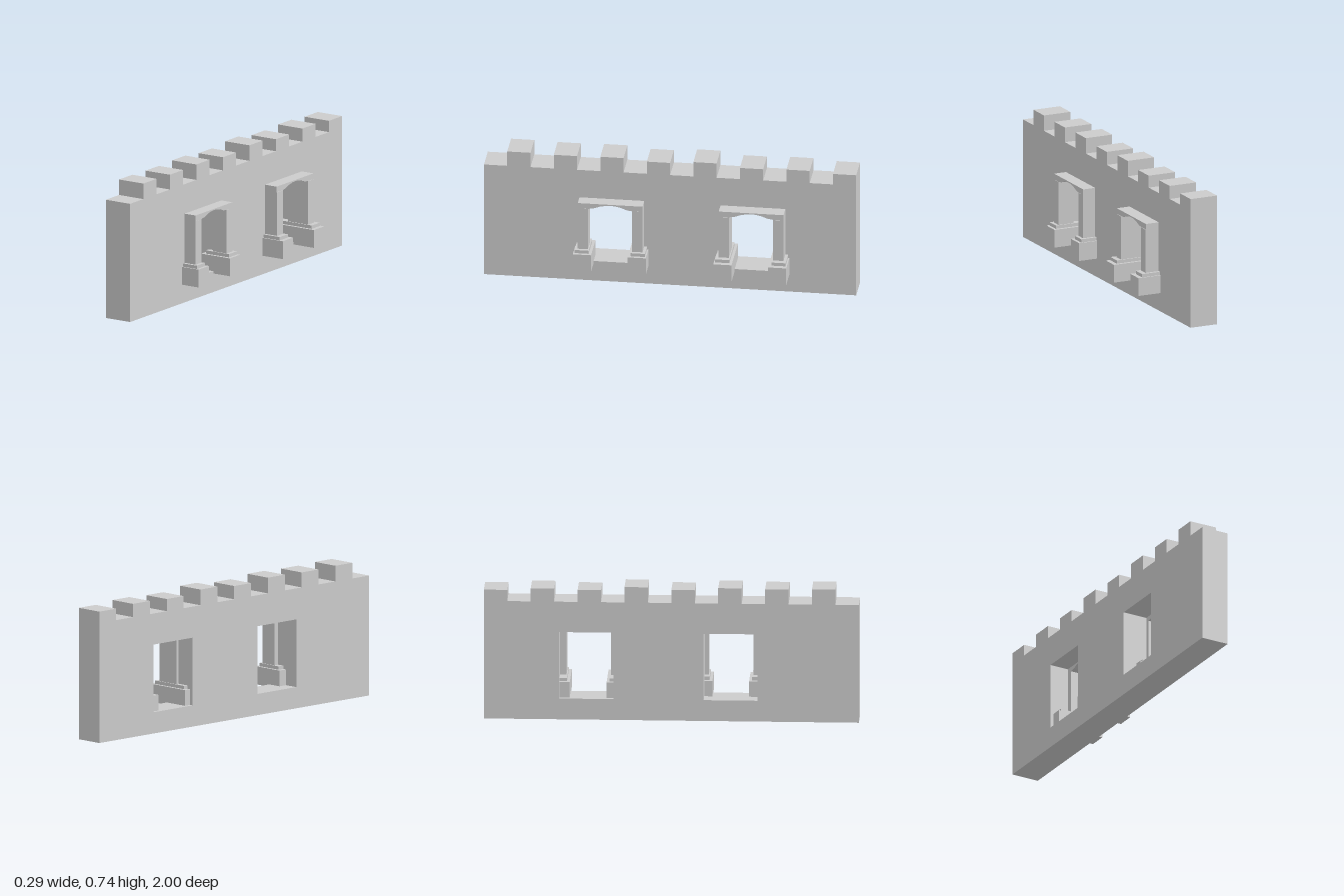
import * as THREE from 'three';

const grey = new THREE.MeshStandardMaterial({ color: 0xcccccc, flatShading: true });

// Extrudes a (z, y) outline through the wall, from xBack to xFront
function slab(name, points, xBack, xFront, holes = []) {
  const shape = new THREE.Shape(points.map(([z, y]) => new THREE.Vector2(z, y)));
  for (const [z0, z1, y0, y1] of holes) {
    shape.holes.push(new THREE.Path([[z0, y0], [z0, y1], [z1, y1], [z1, y0]]
      .map(([z, y]) => new THREE.Vector2(z, y))));
  }
  const geo = new THREE.ExtrudeGeometry(shape, { depth: xFront - xBack, bevelEnabled: false });
  geo.rotateY(-Math.PI / 2).translate(xFront, 0, 0);
  const mesh = new THREE.Mesh(geo, grey);
  mesh.name = name;
  return mesh;
}

function block(name, x0, x1, y0, y1, z0, z1) {
  const mesh = new THREE.Mesh(new THREE.BoxGeometry(x1 - x0, y1 - y0, z1 - z0), grey);
  mesh.position.set((x0 + x1) / 2, (y0 + y1) / 2, (z0 + z1) / 2);
  mesh.name = name;
  return mesh;
}

// Window surround: two columns on stepped pedestals under an arched lintel
function windowFrame(name, zMid, d) {
  const frame = new THREE.Group();
  frame.name = name;
  for (const s of [-1, 1]) {
    const part = (label, x, y0, y1, inner, outer) => {
      const a = s * inner, b = s * outer;
      frame.add(block(label, x[0], x[1], y0, y1, Math.min(a, b), Math.max(a, b)));
    };
    part('pedestal', d.pedestal, 0.102, 0.2, 0.098, 0.196);
    part('pedestalCap', d.cap, 0.2, 0.218, 0.113, 0.189);
    part('column', d.column, 0.218, 0.457, 0.119, 0.174);
  }
  const arch = [[-0.174, 0.457], [-0.119, 0.457], [-0.09, 0.461], [-0.055, 0.474], [-0.02, 0.481],
    [0.02, 0.481], [0.055, 0.474], [0.09, 0.461], [0.119, 0.457], [0.174, 0.457],
    [0.174, 0.488], [-0.174, 0.488]];
  frame.add(slab('lintel', arch, d.lintel[0], d.lintel[1]));
  frame.position.z = zMid;
  return frame;
}

export function createModel() {
  const model = new THREE.Group();
  model.name = 'battlementWall';

  // Wall outline with eight merlons of slightly uneven height
  const heights = [0.712, 0.722, 0.716, 0.735, 0.722, 0.735, 0.731, 0.735];
  const outline = [[1, 0], [-1, 0]];
  heights.forEach((h, i) => {
    const z = -1 + i * 0.25;
    if (i > 0) outline.push([z, 0.65]);
    outline.push([z, h], [z + 0.125, h], [z + 0.125, 0.65]);
  });
  outline.push([1, 0.65]);
  outline.reverse();
  model.add(slab('wall', outline, -0.145, 0.012,
    [[0.172, 0.46, 0.115, 0.482], [-0.598, -0.308, 0.115, 0.482]]));

  // The two surrounds sit at different depths in the wall
  model.add(windowFrame('frontWindowFrame', 0.313, {
    pedestal: [-0.066, 0.118], cap: [-0.045, 0.102], column: [-0.005, 0.084], lintel: [-0.005, 0.083],
  }));
  model.add(windowFrame('rearWindowFrame', -0.445, {
    pedestal: [-0.125, 0.1425], cap: [-0.105, 0.118], column: [-0.038, 0.091], lintel: [-0.038, 0.088],
  }));
  return model;
}
